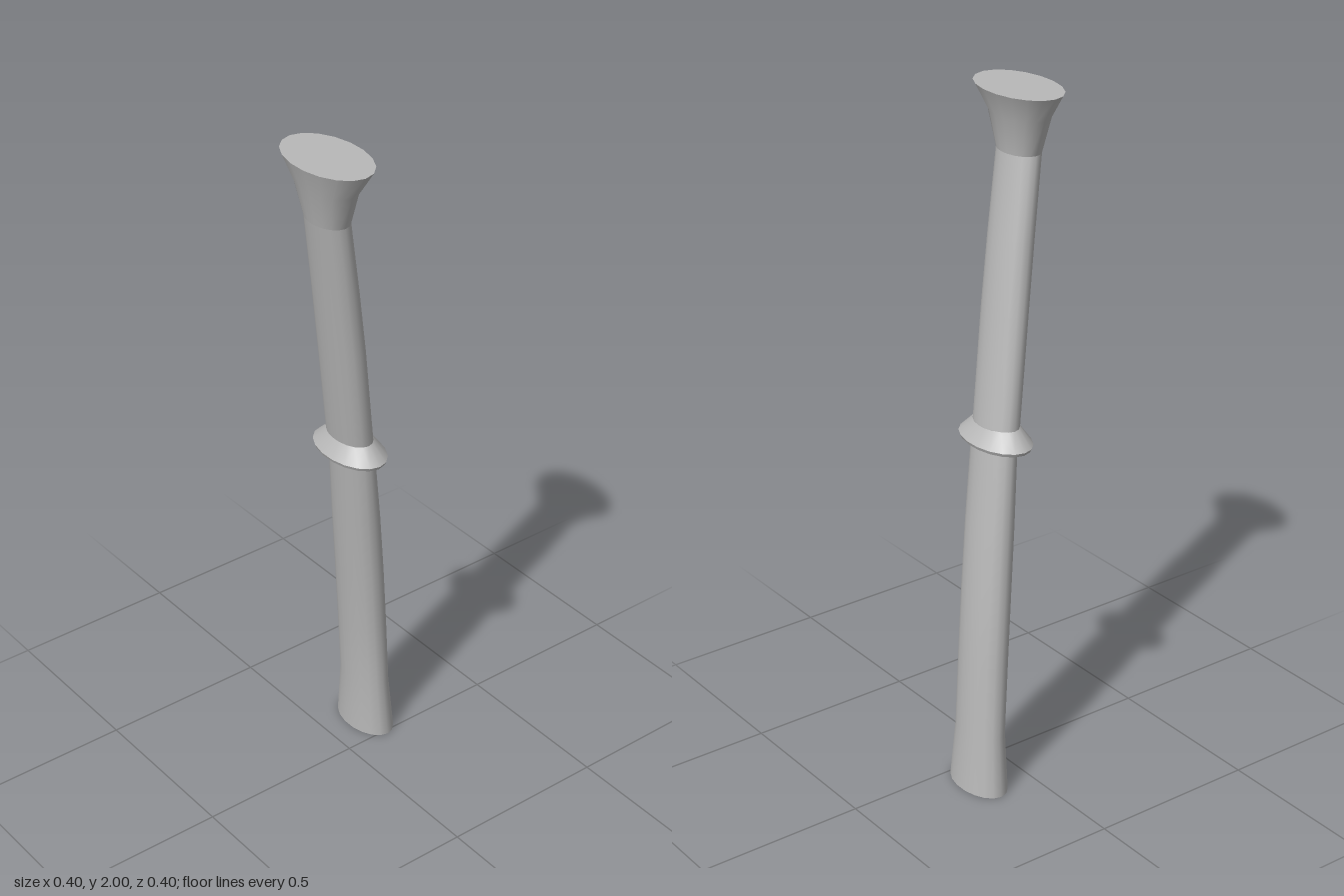
import * as THREE from 'three';

const SIDES = 18;

// Joins horizontal oval rings, listed bottom to top as [y, xMin, xMax, zMin, zMax]
function loft(rings, capBottom, capTop) {
  const pos = [], index = [];
  const addRing = ([y, x0, x1, z0, z1]) => {
    const start = pos.length / 3;
    for (let i = 0; i < SIDES; i++) {
      const a = (i / SIDES) * Math.PI * 2;
      pos.push((x0 + x1) / 2 + Math.cos(a) * (x1 - x0) / 2, y,
        (z0 + z1) / 2 + Math.sin(a) * (z1 - z0) / 2 / 0.985);
    }
    return start;
  };
  const starts = rings.map(addRing);
  for (let r = 0; r + 1 < rings.length; r++) {
    for (let i = 0; i < SIDES; i++) {
      const j = (i + 1) % SIDES;
      const a = starts[r] + i, b = starts[r] + j;
      const c = starts[r + 1] + i, d = starts[r + 1] + j;
      index.push(a, c, b, b, c, d);
    }
  }
  // Caps use their own ring so the edge stays sharp
  const addCap = (ring, up) => {
    const s = addRing(ring);
    for (let i = 1; i + 1 < SIDES; i++) {
      if (up) index.push(s, s + i + 1, s + i);
      else index.push(s, s + i, s + i + 1);
    }
  };
  if (capBottom) addCap(rings[0], false);
  if (capTop) addCap(rings[rings.length - 1], true);
  const geo = new THREE.BufferGeometry();
  geo.setAttribute('position', new THREE.Float32BufferAttribute(pos, 3));
  geo.setIndex(index);
  geo.computeVertexNormals();
  return geo;
}

export function createModel() {
  const group = new THREE.Group();
  const grey = new THREE.MeshStandardMaterial({ color: 0xb8b8b8 });
  grey.name = 'plain grey';

  const add = (name, geometry) => {
    const mesh = new THREE.Mesh(geometry, grey);
    mesh.name = name;
    group.add(mesh);
  };

  const neck = [1.825, -0.037, 0.116, 0.053, 0.153];

  // Leaning lower stem with a slightly flared foot
  add('lowerStem', loft([
    [0, -0.2, 0.015, -0.198, -0.07],
    [0.18, -0.18, 0.001, -0.182, -0.071],
    [0.4, -0.17, 0.008, -0.166, -0.053],
    [0.6, -0.157, 0.02, -0.145, -0.033],
    [0.8, -0.14, 0.033, -0.12, -0.01],
    [1.035, -0.116, 0.048, -0.085, 0.016],
    [1.09, -0.113, 0.052, -0.076, 0.023],
  ], true, false));

  // Straighter upper stem
  add('upperStem', loft([
    [1.085, -0.116, 0.053, -0.075, 0.024],
    [1.4, -0.083, 0.082, -0.025, 0.078],
    [1.6, -0.062, 0.099, 0.011, 0.112],
    neck,
  ], false, false));

  // Open skirt around the middle, with a thin rim
  add('collarSkirt', loft([
    [1.043, -0.165, 0.1, -0.109, 0.053],
    [1.088, -0.116, 0.053, -0.075, 0.024],
  ], false, false));
  add('collarRim', loft([
    [1.033, -0.16, 0.095, -0.105, 0.049],
    [1.043, -0.165, 0.1, -0.109, 0.053],
  ], false, false));

  // Trumpet-shaped closed top
  add('flaredTop', loft([
    neck,
    [1.925, -0.065, 0.15, 0.04, 0.175],
    [2, -0.115, 0.199, 0.008, 0.199],
  ], false, true));

  return group;
}
